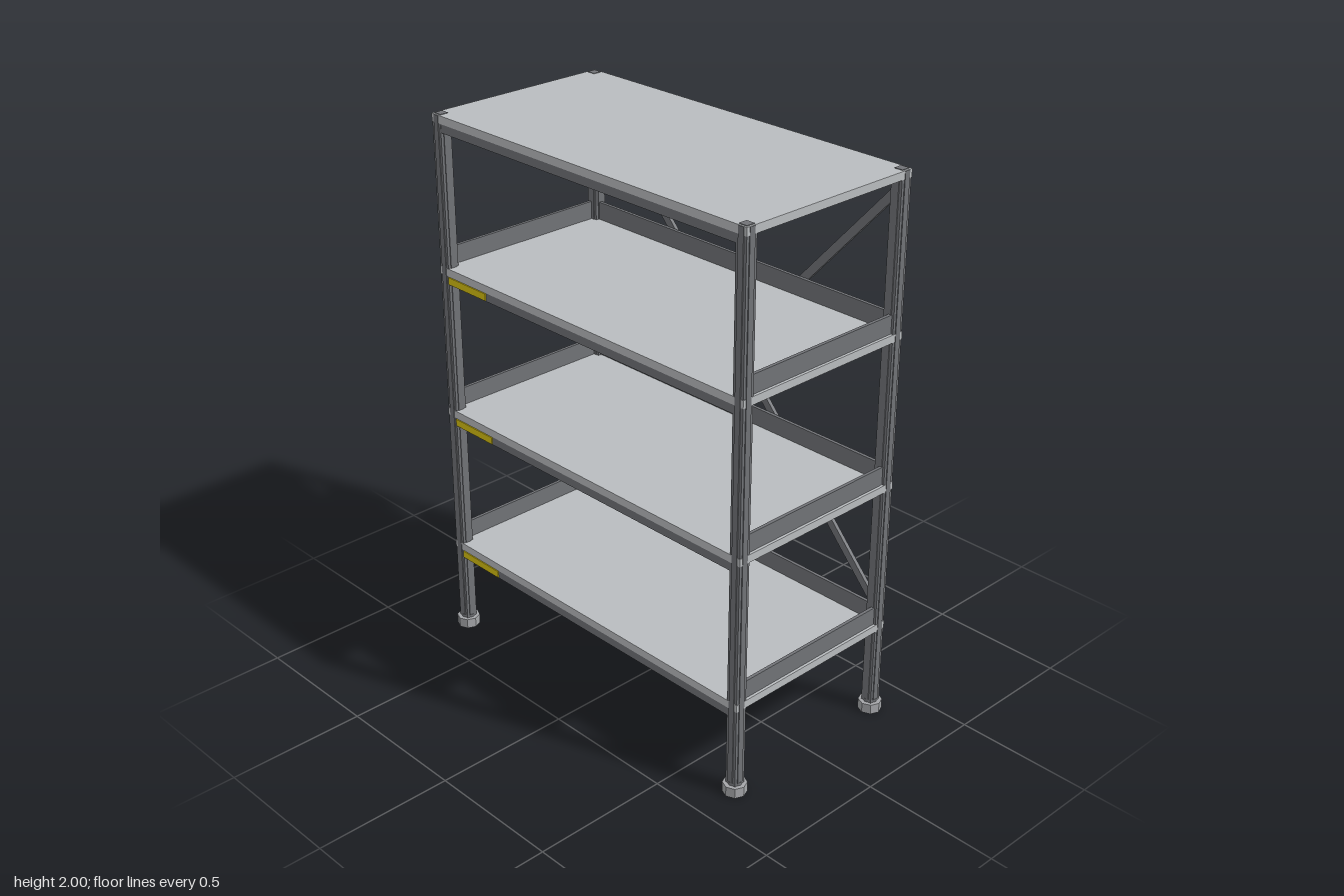
import * as THREE from 'three';

const mat = (name, color) => Object.assign(new THREE.MeshStandardMaterial({ color }), { name });

export function createModel() {
  const shelfGrey = mat('shelfGrey', 0xb9bcbf);
  const steel = mat('darkSteel', 0x717377);
  const footGrey = mat('footGrey', 0xa4a6a9);
  footGrey.flatShading = true;
  const yellow = mat('labelYellow', 0xd6c012);

  const rack = new THREE.Group();
  rack.name = 'shelvingRack';

  // Box given by size and centre
  const box = (name, material, [w, h, d], [x, y, z], parent = rack) => {
    const m = new THREE.Mesh(new THREE.BoxGeometry(w, h, d), material);
    m.name = name;
    m.position.set(x, y, z);
    parent.add(m);
    return m;
  };

  const PX = 0.703, PZ = 0.34;      // post centres
  const TOPS = [0.363, 0.909, 1.454, 1.998];
  const THICK = 0.028;

  // Posts with raised profile ribs, a cap, and an eight-sided levelling foot
  for (const sx of [-1, 1]) for (const sz of [-1, 1]) {
    const post = new THREE.Group();
    post.name = 'post';
    post.position.set(sx * PX, 0, sz * PZ);
    rack.add(post);
    box('postTube', steel, [0.043, 1.95, 0.043], [0, 1.01, 0], post);
    box('ribsAcross', steel, [0.049, 1.95, 0.022], [0, 1.022, 0], post);
    box('ribsDeep', steel, [0.022, 1.95, 0.049], [0, 1.022, 0], post);
    box('postCap', steel, [0.032, 0.03, 0.032], [0, 1.985, 0], post);
    const disc = (name, material, r, h, y) => {
      const m = new THREE.Mesh(new THREE.CylinderGeometry(r, r, h, 8), material);
      m.name = name;
      m.position.y = y;
      post.add(m);
    };
    disc('foot', footGrey, 0.042, 0.037, 0.0185);
    disc('footCollar', steel, 0.027, 0.012, 0.042);
  }

  // Shelves, each with a front beam; the lower three have rims and a label
  TOPS.forEach((top, i) => {
    const shelf = new THREE.Group();
    shelf.name = 'shelf' + (i + 1);
    shelf.position.y = top;
    rack.add(shelf);
    box('shelfPlate', shelfGrey, [1.452, THICK, 0.725], [0, -THICK / 2, 0], shelf);
    box('frontBeam', steel, [1.362, 0.031, 0.02], [0, -THICK - 0.0155, 0.351], shelf);
    if (i === 3) return;
    box('backRim', steel, [1.362, 0.066, 0.012], [0, 0.033, -0.338], shelf);
    for (const s of [-1, 1])
      box('sideRim', steel, [0.012, 0.066, 0.637], [s * 0.71, 0.033, 0], shelf);
    box('label', yellow, [0.2, 0.026, 0.005], [-0.581, -THICK - 0.0155, 0.3625], shelf);
  });

  // Crossed braces across the back
  const dx = 1.375, dy = 1.5;
  for (const s of [-1, 1]) {
    const brace = box('backBrace', steel, [Math.hypot(dx, dy), 0.03, 0.014], [0, 1.175, -0.352]);
    brace.rotation.z = s * Math.atan2(dy, dx);
  }

  return rack;
}
